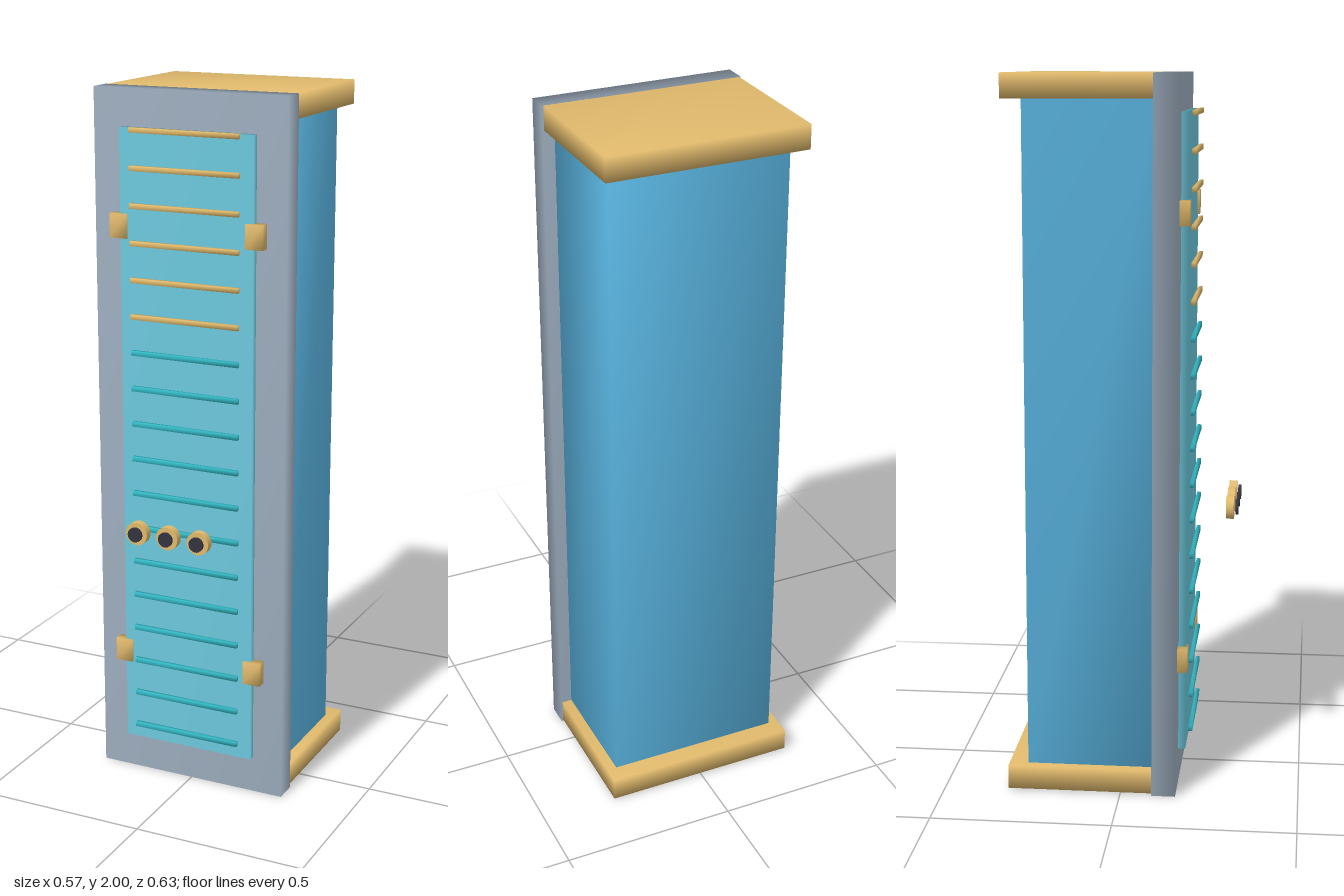
import * as THREE from 'three';
import { mergeVertices } from 'three/addons/utils/BufferGeometryUtils.js';

function material(name, color) {
  const m = new THREE.MeshStandardMaterial({ color });
  m.name = name;
  return m;
}

// Box with corners shared, so its shading is soft across the edges
function softBox(w, h, d) {
  const box = new THREE.BoxGeometry(w, h, d);
  box.deleteAttribute('normal');
  box.deleteAttribute('uv');
  box.clearGroups();
  const g = mergeVertices(box);
  g.computeVertexNormals();
  return g;
}

export function createModel() {
  const gold = material('gold', 0xe0b96c);
  const blue = material('body blue', 0x58b2de);
  const grey = material('steel grey', 0x9dadbe);
  const aqua = material('panel aqua', 0x6cc8dc);
  const teal = material('louver teal', 0x33b8c4);
  const dark = material('dark centre', 0x34343f);

  const model = new THREE.Group();
  model.name = 'cabinet';

  const add = (name, geometry, mat, x, y, z, parent = model) => {
    const mesh = new THREE.Mesh(geometry, mat);
    mesh.name = name;
    mesh.position.set(x, y, z);
    parent.add(mesh);
    return mesh;
  };
  // Box given by its limits in y and z, centred on x
  const addBox = (name, mat, x, w, y0, y1, z0, z1, parent) =>
    add(name, softBox(w, y1 - y0, z1 - z0), mat, x, (y0 + y1) / 2, (z0 + z1) / 2, parent);

  // Main cabinet
  addBox('body', blue, 0, 0.506, 0.03, 1.97, -0.265, 0.1);
  addBox('topCap', gold, 0, 0.564, 1.933, 2, -0.318, 0.091);
  addBox('bottomCap', gold, 0, 0.564, 0.005, 0.072, -0.318, 0.091);
  addBox('frontFrame', grey, 0, 0.574, 0, 2, 0.089, 0.156);
  addBox('frontPanel', aqua, 0, 0.398, 0.11, 1.897, 0.158, 0.178);

  // Louvers, the top six in gold
  const louvers = new THREE.Group();
  louvers.name = 'louvers';
  model.add(louvers);
  for (let i = 0; i < 18; i++) {
    const y = 1.893 - i * 0.1022;
    addBox('louver', i < 6 ? gold : teal, 0, 0.324, y - 0.007, y + 0.007, 0.184, 0.195, louvers);
  }

  // Clips at the sides of the panel
  for (const side of [-1, 1]) {
    for (const y of [0.38, 1.63]) {
      addBox('clip', gold, side * 0.203, 0.052, y - 0.034, y + 0.034, 0.155, 0.184);
    }
  }

  // Three round knobs standing clear of the front
  const knobGeo = new THREE.CylinderGeometry(0.033, 0.033, 0.022, 24).rotateX(Math.PI / 2);
  const centreGeo = new THREE.CylinderGeometry(0.021, 0.021, 0.008, 24).rotateX(Math.PI / 2);
  for (const x of [-0.094, 0, 0.094]) {
    const knob = new THREE.Group();
    knob.name = 'knob';
    knob.position.set(x, 0.795, 0.294);
    model.add(knob);
    add('knobRing', knobGeo, gold, 0, 0, 0, knob);
    add('knobCentre', centreGeo, dark, 0, 0, 0.019, knob);
  }

  return model;
}
